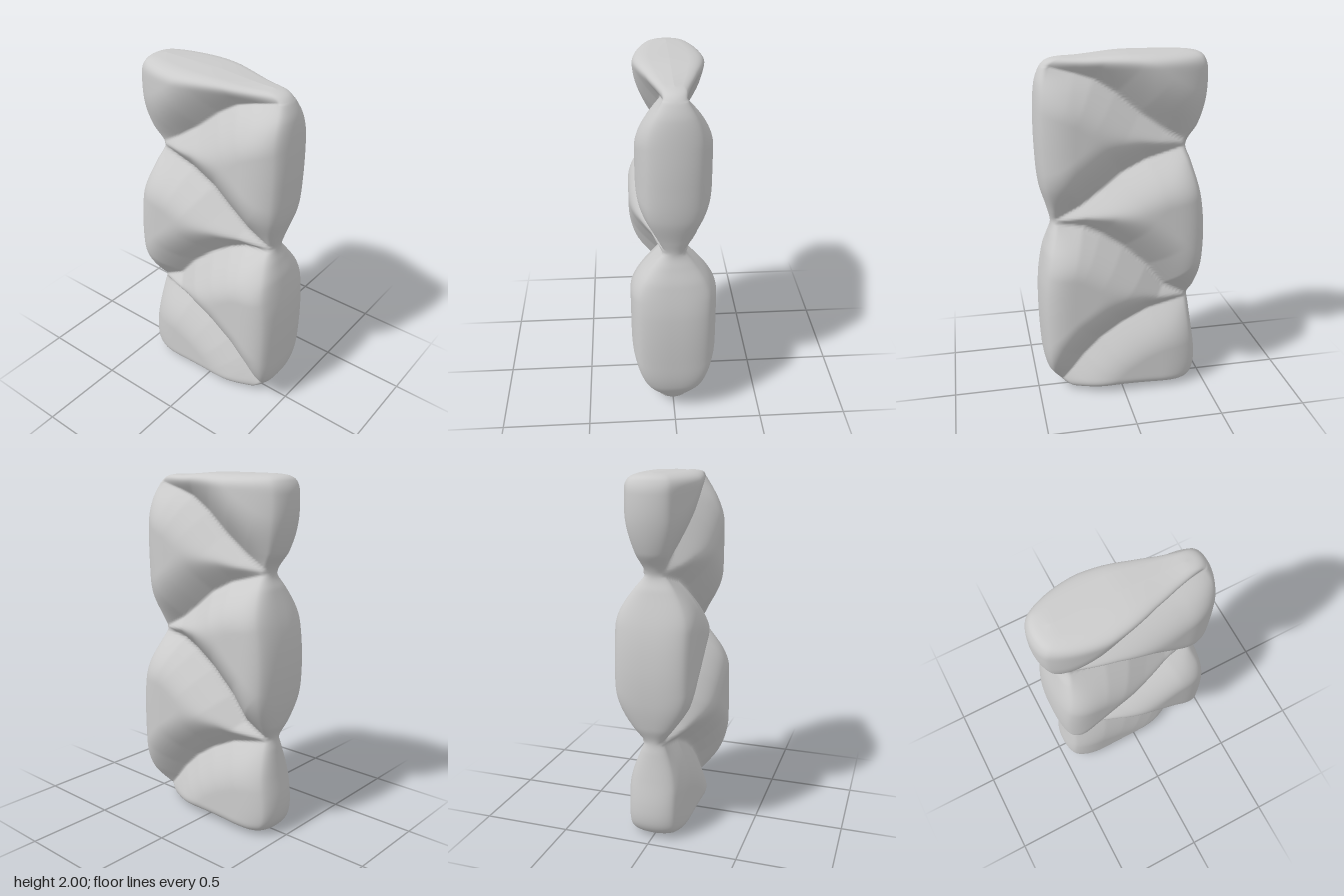
import * as THREE from 'three';

// Side outlines as [y, x]
const LEFT = [[0, -0.34], [0.01, -0.385], [0.04, -0.43], [0.1, -0.457], [0.2, -0.46], [0.35, -0.44], [0.5, -0.42],
  [0.57, -0.413], [0.65, -0.44], [0.8, -0.467], [1, -0.475], [1.2, -0.455], [1.4, -0.4], [1.47, -0.376],
  [1.52, -0.39], [1.6, -0.44], [1.75, -0.48], [1.9, -0.485], [1.96, -0.468], [1.988, -0.435], [2, -0.37]];
const RIGHT = [[0, 0.25], [0.01, 0.3], [0.03, 0.338], [0.08, 0.385], [0.2, 0.452], [0.4, 0.475], [0.7, 0.475],
  [0.9, 0.445], [1, 0.415], [1.07, 0.397], [1.15, 0.413], [1.3, 0.455], [1.5, 0.47], [1.7, 0.47],
  [1.85, 0.458], [1.93, 0.435], [1.97, 0.41], [1.99, 0.375], [2, 0.32]];

// Four zigzag creases, from the bottom up, as [y, x]
const CREASES = [
  [[0.06, 0.37], [0.14, 0.3], [0.23, 0.23], [0.33, 0.13], [0.42, 0], [0.5, -0.16], [0.56, -0.41]],
  [[0.56, -0.41], [0.65, -0.25], [0.78, -0.15], [0.91, -0.01], [1, 0.12], [1.05, 0.22], [1.08, 0.4]],
  [[1.08, 0.4], [1.17, 0.23], [1.26, 0.11], [1.35, 0], [1.42, -0.14], [1.49, -0.39]],
  [[1.49, -0.39], [1.58, -0.24], [1.68, -0.1], [1.79, 0.03], [1.87, 0.15], [1.91, 0.25], [1.95, 0.38]],
];
const ZIGZAG = CREASES.flat();

// Pillows: half thickness, and radius and power of the rounding along the side
const TOP = { depth: 0.195, radius: 0.33, power: 1.8 };
const UPPER_RIGHT = { depth: 0.198, radius: 0.2, power: 2 };
const MIDDLE_LEFT = { depth: 0.232, radius: 0.2, power: 2.8 };
const LOWER_RIGHT = { depth: 0.238, radius: 0.2, power: 2.8 };
const BOTTOM = { depth: 0.168, radius: 0.22, power: 2.2 };

// Interpolates a [y, x] table, smoothly or in straight pieces
function sample(table, y, smooth) {
  const n = table.length;
  let i = 0;
  while (i < n - 2 && y > table[i + 1][0]) i++;
  const slope = (k) => {
    const a = table[Math.max(0, k - 1)], b = table[Math.min(n - 1, k + 1)];
    return (b[1] - a[1]) / (b[0] - a[0]);
  };
  const [y0, x0] = table[i], [y1, x1] = table[i + 1];
  const w = y1 - y0 || 1, t = THREE.MathUtils.clamp((y - y0) / w, 0, 1);
  if (!smooth) return x0 + (x1 - x0) * t;
  const t2 = t * t, t3 = t2 * t;
  return (2 * t3 - 3 * t2 + 1) * x0 + (t3 - 2 * t2 + t) * w * slope(i)
    + (3 * t2 - 2 * t3) * x1 + (t3 - t2) * w * slope(i + 1);
}

// Distance from a point to one crease
function creaseDistance(crease, x, y) {
  let best = Infinity;
  for (let i = 0; i < crease.length - 1; i++) {
    const [ay, ax] = crease[i], [by, bx] = crease[i + 1];
    const dx = bx - ax, dy = by - ay;
    const t = THREE.MathUtils.clamp(((x - ax) * dx + (y - ay) * dy) / (dx * dx + dy * dy), 0, 1);
    best = Math.min(best, Math.hypot(x - ax - dx * t, y - ay - dy * t));
  }
  return best;
}

// The pillow a point belongs to
function pillowAt(x, y) {
  const onLeft = y > 1.95 || y < 0.06 || x < sample(ZIGZAG, y, false);
  if (onLeft) return y > 1.49 ? TOP : y > 0.56 ? MIDDLE_LEFT : BOTTOM;
  return y > 1.08 ? UPPER_RIGHT : LOWER_RIGHT;
}

const round = (t, p) => Math.pow(Math.max(0, 1 - Math.pow(1 - Math.min(1, Math.max(0, t)), p)), 1 / p);

// Half depth of the body: pillows swell away from creases, sides and ends
function halfDepth(x, y, edge) {
  let sum = 0;
  for (const c of CREASES) sum += Math.pow(creaseDistance(c, x, y) + 1e-4, -6);
  const d = Math.pow(sum, -1 / 6);
  const swell = Math.sin(Math.min(1, d / 0.255) * Math.PI / 2);
  const { depth, radius, power } = pillowAt(x, y);
  const neck = 0.058;
  const end = round(Math.min(y, 2 - y) / 0.085, 3.2);
  return end * (neck * round(edge / 0.04, 2) + (depth - neck) * swell * round(edge / radius, power));
}

// Body skin made of stacked closed rings
function bodyGeometry(rows = 220, around = 160) {
  const pos = [], index = [];
  const { smoothstep } = THREE.MathUtils;
  for (let j = 0; j <= rows; j++) {
    const v = j / rows;
    // Rows crowd together at both ends, where the skin curls over
    const y = 2 * v * 0.4 + (1 - Math.cos(Math.PI * v)) * 0.6;
    const xl = sample(LEFT, y, true), xr = sample(RIGHT, y, true);
    for (let i = 0; i < around; i++) {
      const a = (i / around) * Math.PI * 2;
      const x = (xl + xr) / 2 + (xr - xl) / 2 * Math.cos(a);
      const z = Math.sign(Math.sin(a)) * halfDepth(x, y, Math.min(x - xl, xr - x));
      // Slight dip of the top on one side and hollow underneath
      const dip = 0.018 * smoothstep(x, -0.05, 0.28) * smoothstep(y, 1.8, 2);
      const hollow = 0.016 * Math.max(0, 1 - (x / 0.33) ** 2) * (1 - smoothstep(y, 0, 0.3));
      pos.push(x, y - dip + hollow, z);
    }
  }
  for (let j = 0; j < rows; j++) {
    for (let i = 0; i < around; i++) {
      const n = (i + 1) % around;
      const a = j * around + i, b = j * around + n, c = a + around, d = b + around;
      index.push(a, c, b, b, c, d);
    }
  }
  const g = new THREE.BufferGeometry();
  g.setAttribute('position', new THREE.Float32BufferAttribute(pos, 3));
  g.setIndex(index);
  g.computeVertexNormals();
  return g;
}

export function createModel() {
  const group = new THREE.Group();
  group.name = 'twistedPillow';
  const body = new THREE.Mesh(bodyGeometry(), new THREE.MeshStandardMaterial({ color: 0xcccccc }));
  body.name = 'creasedPillowBody';
  group.add(body);
  return group;
}
